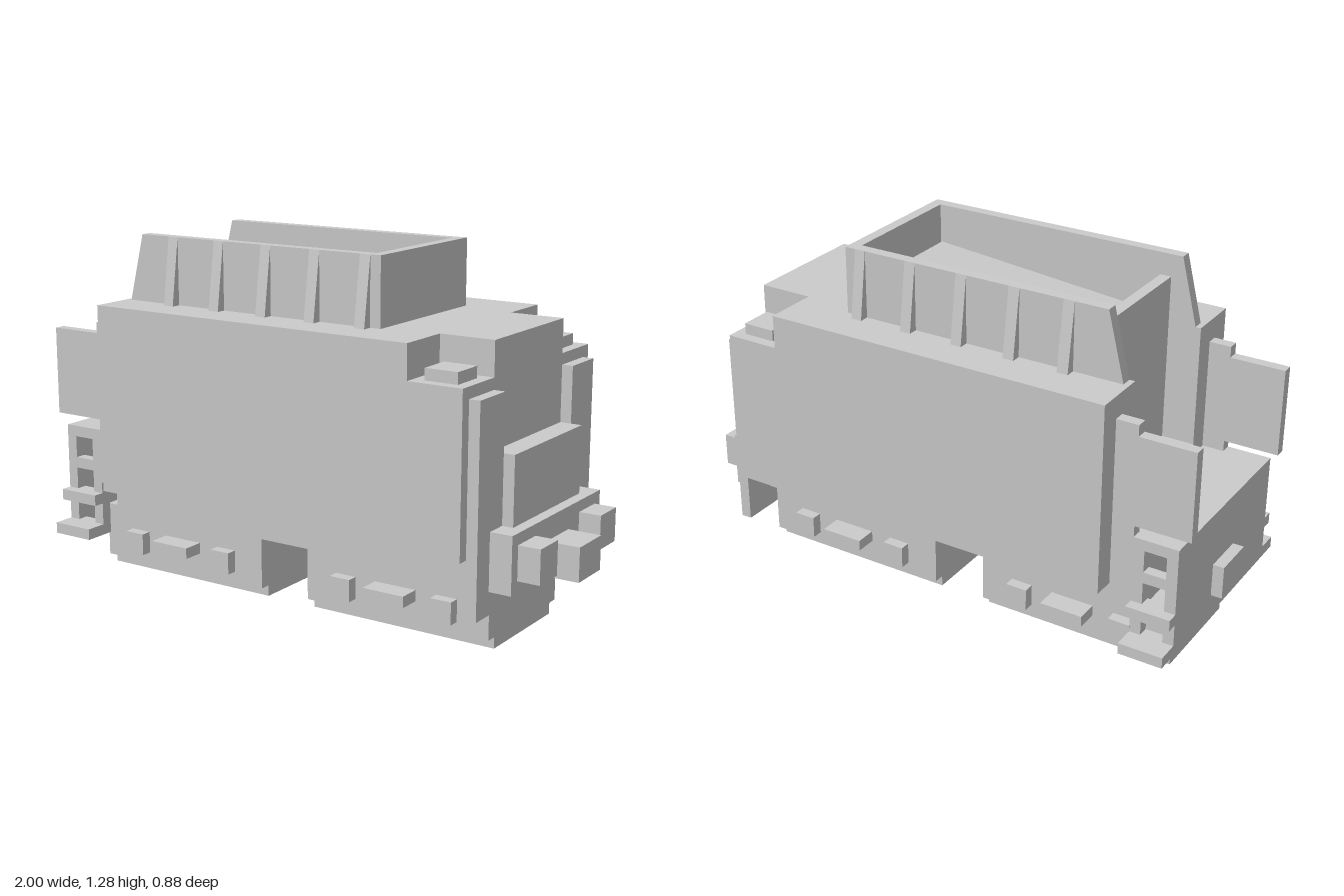
import * as THREE from 'three';

const material = new THREE.MeshStandardMaterial({ color: 0xcccccc, flatShading: true });

export function createModel() {
  const model = new THREE.Group();
  const add = (name, geometry) => {
    const mesh = new THREE.Mesh(geometry, material);
    mesh.name = name;
    model.add(mesh);
  };
  // Box given by its limits on each axis
  const box = (name, x0, x1, y0, y1, z0, z1) => {
    const g = new THREE.BoxGeometry(x1 - x0, y1 - y0, z1 - z0);
    add(name, g.translate((x0 + x1) / 2, (y0 + y1) / 2, (z0 + z1) / 2));
  };
  // The same box on both sides of the centre line
  const pair = (name, x0, x1, y0, y1, z0, z1) => {
    box(name, x0, x1, y0, y1, z0, z1);
    box(name, x0, x1, y0, y1, -z1, -z0);
  };
  const extrude = (points, depth) => new THREE.ExtrudeGeometry(
    new THREE.Shape(points.map(([a, b]) => new THREE.Vector2(a, b))),
    { depth, bevelEnabled: false });
  // Outline in x and z, raised from y0 to y1
  const plan = (name, points, y0, y1) =>
    add(name, extrude(points, y1 - y0).rotateX(-Math.PI / 2).translate(0, y0, 0));

  // Tank: lower block, middle with end recess, top with corner notches
  const recess = [[-0.72, 0.44], [-0.72, 0.24], [-0.6, 0.24], [-0.6, -0.24], [-0.72, -0.24], [-0.72, -0.44]];
  box('tankBase', -0.72, 0.76, 0.36, 0.6, -0.44, 0.44);
  plan('tankMiddle', [...recess, [0.76, -0.44], [0.76, 0.44]], 0.6, 0.92);
  plan('tankTop', [...recess, [0.56, -0.44], [0.56, -0.24], [0.76, -0.24],
    [0.76, 0.24], [0.56, 0.24], [0.56, 0.44]], 0.92, 1.04);
  pair('fillerHatch', 0.6, 0.72, 0.92, 0.96, 0.28, 0.4);
  box('underframe', -0.8, 0.76, 0.24, 0.36, -0.28, 0.28);

  // Open bunker on the roof
  const bunkerSide = [[-0.7, 1.04], [0.36, 1.04], [0.36, 1.28], [-0.64, 1.28]];
  for (const z of [0.24, -0.28]) add('bunkerSide', extrude(bunkerSide, 0.04).translate(0, 0, z));
  box('bunkerEnd', 0.32, 0.36, 1.04, 1.28, -0.24, 0.24);
  box('bunkerGate', -0.6, -0.56, 1.04, 1.2, -0.24, 0.24);
  add('bunkerFloor', extrude([[-0.56, 1.04], [0.315, 1.04], [0.315, 1.14], [-0.56, 1.06]], 0.48)
    .translate(0, 0, -0.24));

  // Tapered ribs
  for (let i = 0; i < 5; i++) {
    const x = -0.5 + i * 0.2;
    const rib = extrude([[0.28, 1.04], [0.315, 1.04], [0.28, 1.28]], 0.04);
    add('bunkerRib', rib.clone().rotateY(-Math.PI / 2).translate(x + 0.02, 0, 0));
    add('bunkerRib', rib.rotateY(Math.PI / 2).translate(x - 0.02, 0, 0));
  }

  // Bumper end
  pair('endPanel', 0.76, 0.8, 0.16, 0.88, 0.24, 0.4);
  box('toolBox', 0.76, 0.84, 0.24, 0.68, -0.24, 0.24);
  box('bumperBeam', 0.76, 0.88, 0.24, 0.44, -0.32, 0.32);
  pair('bumper', 0.88, 0.96, 0.28, 0.4, 0.16, 0.28);
  box('rearCoupler', 0.88, 1, 0.24, 0.36, -0.08, 0.08);

  // Footplate end, closed by a full-width plate
  box('footplateSupport', -0.8, -0.72, 0.36, 0.52, -0.36, 0.36);
  box('footplate', -0.96, -0.72, 0.52, 0.56, -0.36, 0.36);
  box('footplateEnd', -0.96, -0.92, 0.16, 0.52, -0.36, 0.36);
  box('frontCoupler', -1, -0.96, 0.24, 0.36, -0.08, 0.08);
  pair('sidePost', -0.8, -0.72, 0.56, 0.96, 0.32, 0.36);
  pair('sideScreen', -1, -0.8, 0.6, 0.92, 0.32, 0.36);

  // Steps below the footplate, each lower one reaching further out
  pair('stepHanger', -0.84, -0.8, 0.16, 0.52, 0.32, 0.36);
  for (let i = 0; i < 3; i++) {
    const y = 0.16 + i * 0.12;
    pair('step', -0.96, -0.8, y, y + 0.04, 0.32, 0.44 - i * 0.04);
  }

  // Two bogies with axle boxes and springs
  for (const x of [-0.88, 0.04]) {
    box('bogieBase', x, x + 0.72, 0, 0.04, -0.2, 0.2);
    box('bogieFrame', x, x + 0.72, 0.04, 0.24, -0.24, 0.24);
    for (const dx of [0.12, 0.52]) pair('axleBox', x + dx, x + dx + 0.08, 0.08, 0.16, 0.24, 0.28);
    pair('bogieSpring', x + 0.28, x + 0.44, 0.12, 0.16, 0.24, 0.32);
  }
  return model;
}
